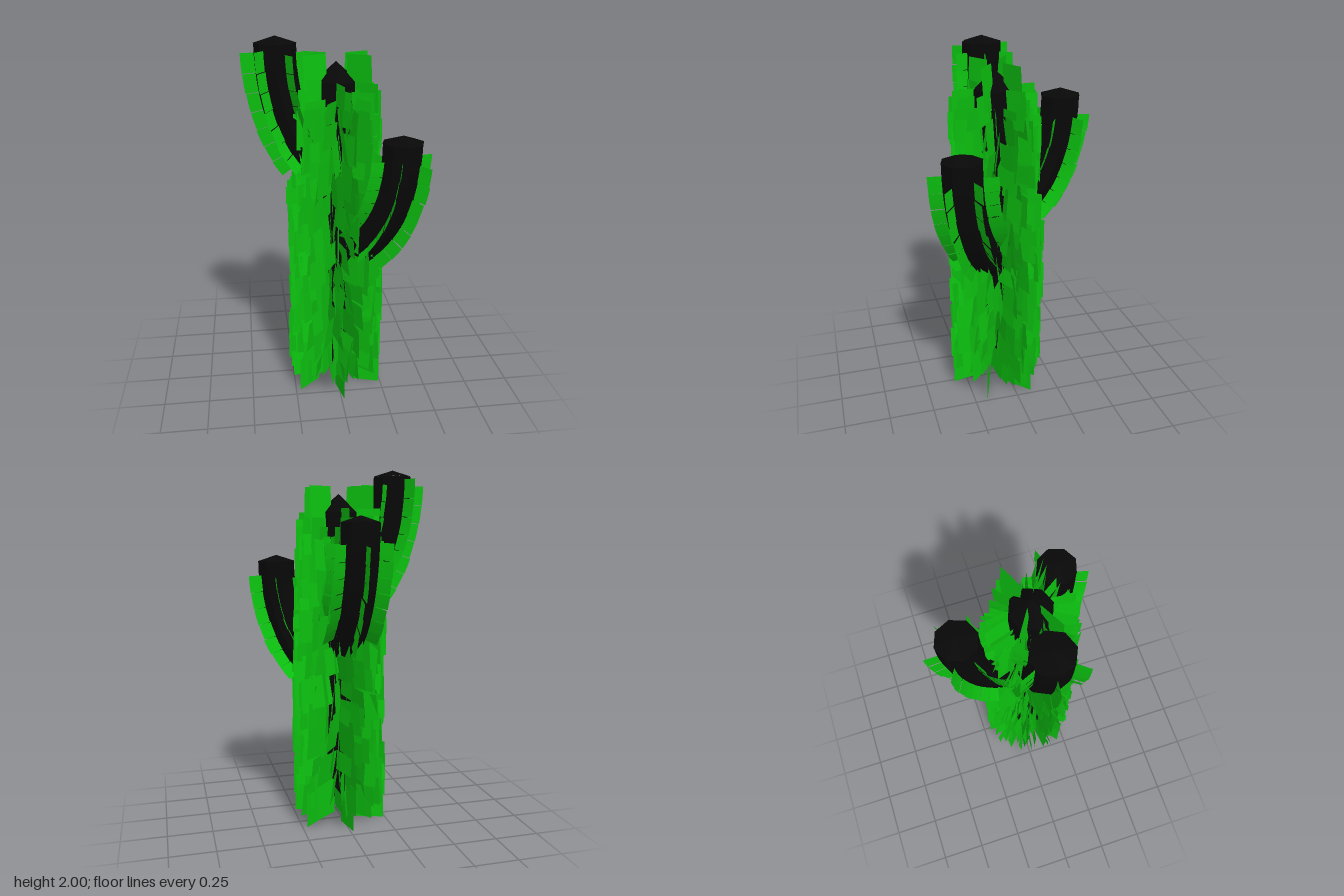
import * as THREE from 'three';
import { mergeGeometries } from 'three/addons/utils/BufferGeometryUtils.js';

const AXIS_Z = 0.06; // trunk stands slightly forward of the centre

function seeded(seed) {
  return () => {
    seed = (seed * 1664525 + 1013904223) % 4294967296;
    return seed / 4294967296;
  };
}

const coreMat = new THREE.MeshStandardMaterial({ color: 0x080808, flatShading: true });
const finMat = new THREE.MeshStandardMaterial({ color: 0x0cc010, side: THREE.DoubleSide });

function addMesh(parent, name, geometry, material) {
  const mesh = new THREE.Mesh(geometry, material);
  mesh.name = name;
  parent.add(mesh);
}

// Upright plate from r0 to r1 at an angle about the trunk; tilt leans it sideways
function radialPlate(r0, r1, y0, y1, angle, twist, tilt) {
  return new THREE.PlaneGeometry(r1 - r0, y1 - y0)
    .rotateX(tilt)
    .rotateY(twist)
    .translate((r0 + r1) / 2, (y0 + y1) / 2, 0)
    .rotateY(-angle);
}

function makeTrunk() {
  const trunk = new THREE.Group();
  trunk.name = 'trunk';
  trunk.position.z = AXIS_Z;
  const core = new THREE.CylinderGeometry(0.112, 0.118, 1.62, 8).translate(0, 0.96, 0);
  addMesh(trunk, 'trunkCore', core, coreMat);
  const cap = new THREE.ConeGeometry(0.112, 0.1, 8, 1, true).translate(0, 1.82, 0);
  addMesh(trunk, 'trunkTip', cap, coreMat);

  // Six ribs, each a bundle of overlapping shingle-like plates
  const rnd = seeded(11);
  const jitter = (amount) => (rnd() - 0.5) * 2 * amount;
  for (let rib = 0; rib < 6; rib++) {
    const base = Math.PI / 6 + (rib * Math.PI) / 3;
    const plates = [radialPlate(0.11, 0.27, 0, 0.2, base, 0.2, 0)];
    // Tall crown plates on the side ribs only
    if (rib % 3 !== 1) plates.push(radialPlate(0.06, 0.2, 1.68, 1.91, base, jitter(0.2), 0.08));
    for (let strand = -3; strand <= 3; strand++) {
      let y = 0.05 + rnd() * 0.13;
      const top = 1.76 - Math.abs(strand) * 0.05;
      while (y < top) {
        const y1 = Math.min(y + 0.09 + rnd() * 0.12, top + 0.03);
        const limit = y > 1.55 ? 0.245 : y > 1.1 ? 0.26 : 0.277;
        const angle = base + strand * 0.14 + jitter(0.05);
        plates.push(radialPlate(0.105, limit - rnd() * 0.035, y, y1, angle,
          jitter(0.35), jitter(0.15)));
        y = y1 - 0.005;
      }
    }
    addMesh(trunk, 'trunkRib', mergeGeometries(plates), finMat);
  }
  return trunk;
}

// One piece of an arm rib, following the curve between t0 and t1
function curvedPlate(curve, t0, t1, around, r0, r1) {
  const points = [];
  const index = [];
  const steps = 2;
  for (let i = 0; i <= steps; i++) {
    const t = t0 + ((t1 - t0) * i) / steps;
    const p = curve.getPoint(t);
    const tan = curve.getTangent(t);
    const out = new THREE.Vector3(tan.y, -tan.x, 0).multiplyScalar(Math.cos(around));
    out.z = Math.sin(around);
    for (const r of [r0, r1]) {
      const q = p.clone().addScaledVector(out, r);
      points.push(q.x, q.y, q.z);
    }
    if (i < steps) {
      const a = i * 2;
      index.push(a, a + 1, a + 3, a, a + 3, a + 2);
    }
  }
  const geometry = new THREE.BufferGeometry();
  geometry.setAttribute('position', new THREE.Float32BufferAttribute(points, 3));
  geometry.setIndex(index);
  geometry.computeVertexNormals();
  return geometry;
}

// Upturned arm, built along +x and turned to face its tip
function makeArm(name, tipX, tipZ, top, ribEnd, seed) {
  const arm = new THREE.Group();
  arm.name = name;
  const dz = tipZ - AXIS_Z;
  const reach = Math.hypot(tipX, dz);
  arm.position.z = AXIS_Z;
  arm.rotation.y = -Math.atan2(dz, tipX);

  const curve = new THREE.QuadraticBezierCurve3(
    new THREE.Vector3(0.07, top - 0.71, 0),
    new THREE.Vector3(reach, top - 0.49, 0),
    new THREE.Vector3(reach, top - 0.035, 0));
  addMesh(arm, 'armCore', new THREE.TubeGeometry(curve, 12, 0.108, 8), coreMat);
  const cap = new THREE.ConeGeometry(0.11, 0.035, 8, 1, true)
    .translate(reach, top - 0.0175, 0);
  addMesh(arm, 'armTip', cap, coreMat);

  // Six ribs around the arm, each a chain of plates with small gaps
  const rnd = seeded(seed);
  for (let rib = 0; rib < 6; rib++) {
    const around = (rib * Math.PI) / 3 + 0.06;
    const start = 0.17;
    const step = (ribEnd + rnd() * 0.05 - start) / 7;
    const plates = [];
    for (let i = 0; i < 7; i++) {
      const t = start + i * step;
      plates.push(curvedPlate(curve, t, t + step * 0.97,
        around + (rnd() - 0.5) * 0.06, 0.1, 0.174 + rnd() * 0.008));
    }
    addMesh(arm, 'armRib', mergeGeometries(plates), finMat);
  }
  return arm;
}

export function createModel() {
  const model = new THREE.Group();
  model.name = 'cactus';
  model.add(
    makeTrunk(),
    makeArm('rightArm', -0.31, 0.05, 2, 0.94, 3),
    makeArm('leftArm', 0.31, 0.31, 1.53, 0.88, 5),
    makeArm('backArm', -0.02, -0.31, 1.75, 0.87, 8));
  return model;
}
